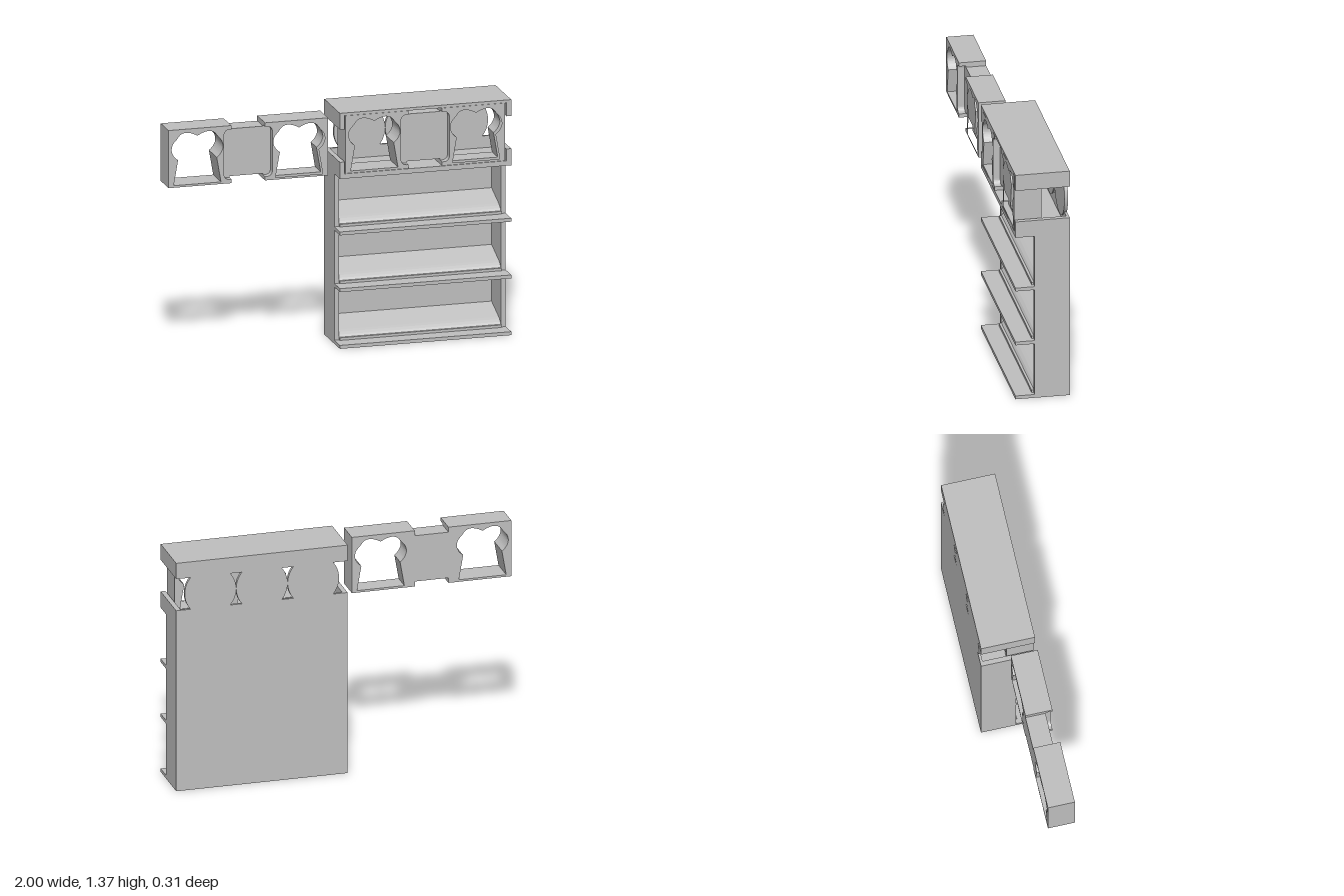
import * as THREE from 'three';

export function createModel() {
  const grey = new THREE.MeshStandardMaterial({ color: 0xbfbfbf });
  grey.name = 'light grey';

  const add = (parent, name, geometry) => {
    const mesh = new THREE.Mesh(geometry, grey);
    mesh.name = name;
    parent.add(mesh);
    return mesh;
  };
  // Box given by its bounds
  const box = (parent, name, x0, x1, y0, y1, z0, z1) => {
    const g = new THREE.BoxGeometry(x1 - x0, y1 - y0, z1 - z0);
    g.translate((x0 + x1) / 2, (y0 + y1) / 2, (z0 + z1) / 2);
    return add(parent, name, g);
  };
  const vectors = (pts) => pts.map(([x, y]) => new THREE.Vector2(x, y));
  // Plate extruded along z from an outline with holes
  const plate = (parent, name, outline, holes, z0, z1) => {
    const shape = new THREE.Shape(vectors(outline));
    holes.forEach((h) => shape.holes.push(new THREE.Path(vectors(h))));
    const g = new THREE.ExtrudeGeometry(shape, { depth: z1 - z0, bevelEnabled: false });
    g.translate(0, 0, z0);
    return add(parent, name, g);
  };
  // Bar running along x from a (z, y) cross-section
  const bar = (parent, name, profile, x0, x1) => {
    const shape = new THREE.Shape(vectors(profile.map(([z, y]) => [-z, y])));
    const g = new THREE.ExtrudeGeometry(shape, { depth: x1 - x0, bevelEnabled: false });
    g.rotateY(Math.PI / 2).translate(x0, 0, 0);
    return add(parent, name, g);
  };

  // ---- Front insert: two blocks with shaped openings and a lower middle ----
  const W = 0.93, H = 0.335, BLOCK = 0.367;
  const mirror = (pts) => pts.map(([x, y]) => [W - x, y]);

  const crown = new THREE.SplineCurve(vectors([
    [0.113, 0.157], [0.136, 0.18], [0.15, 0.214], [0.143, 0.25], [0.12, 0.278],
    [0.097, 0.305], [0.066, 0.314], [0.032, 0.307], [0, 0.292],
  ])).getPoints(32).map((p) => [p.x, p.y]);
  const half = [[0.138, 0.012], ...crown];
  const opening = [
    ...half,
    ...half.slice(0, -1).reverse().map(([x, y]) => [-x, y]),
  ].map(([x, y]) => [x + 0.168, y]);

  // Rounded pocket edge on the inner side of a block
  const pocket = [];
  const px = 0.324, pr = 0.03, low = 0.022;
  for (let i = 0; i <= 6; i++) {
    const a = (i / 6) * Math.PI / 2;
    pocket.push([px + pr - pr * Math.sin(a), low + pr - pr * Math.cos(a)]);
  }
  const pocketEdge = [...pocket, ...pocket.slice().reverse().map(([x, y]) => [x, H - y])];
  const blockOutline = [[0, 0], [BLOCK, 0], [BLOCK, low], ...pocketEdge,
    [BLOCK, H - low], [BLOCK, H], [0, H]];

  const baseOutline = [
    [0, 0], [BLOCK, 0], [BLOCK, 0.03], [W - BLOCK, 0.03], [W - BLOCK, 0], [W, 0],
    [W, H], [W - BLOCK, H], [W - BLOCK, H - 0.03], [BLOCK, H - 0.03], [BLOCK, H], [0, H],
  ];

  const makeInsert = (name) => {
    const insert = new THREE.Group();
    insert.name = name;
    plate(insert, 'insertBase', baseOutline, [opening, mirror(opening)], 0, 0.115);
    plate(insert, 'rightBlockFront', blockOutline, [opening], 0.115, 0.155);
    plate(insert, 'leftBlockFront', mirror(blockOutline), [mirror(opening)], 0.115, 0.155);
    return insert;
  };

  const model = new THREE.Group();
  model.name = 'shelfUnitWithInserts';
  const spare = makeInsert('looseInsert');
  spare.position.set(-1, 1.015, 0);
  const fitted = makeInsert('fittedInsert');
  fitted.position.set(0.033, 1.018, 0);
  model.add(spare, fitted);

  // ---- Cabinet ----
  const cabinet = new THREE.Group();
  cabinet.name = 'cabinet';
  model.add(cabinet);
  const B = -0.155, F = 0.155, M = 0.045, T = 0.028;

  box(cabinet, 'backWall', 0, 1, 0, 1.085, B, -0.14);
  for (const [side, x] of [['right', 0], ['left', 1 - T]]) {
    box(cabinet, side + 'Wall', x, x + T, 0, 1.085, B, M);
    box(cabinet, side + 'TrayWall', x, x + T, 0.99, 1.085, M, F);
    box(cabinet, side + 'CapWall', x, x + T, 1.275, 1.37, B, F);
  }

  // Top cap and its short back wall
  box(cabinet, 'capTop', 0, 1, 1.354, 1.37, B, F);
  box(cabinet, 'capBack', 0, 1, 1.275, 1.37, B, -0.14);

  // Three round plates joining the cap to the cabinet at the back
  for (const x of [0.2, 0.5, 0.8]) {
    const disc = new THREE.CylinderGeometry(0.15, 0.15, 0.02, 48);
    disc.rotateX(Math.PI / 2).translate(x, 1.18, B + 0.01);
    add(cabinet, 'backDisc', disc);
  }

  // Shelves, with a lip above, a wedge below and a sloped floor behind
  const shelves = [[0, 0.02], [0.33, 0.35], [0.66, 0.68], [0.988, 1.016]];
  shelves.forEach(([y0, y1], i) => {
    box(cabinet, 'shelf', 0, 1, y0, y1, B, F);
    if (i > 0) {
      bar(cabinet, 'underLip', [[0.057, y0], [0.047, y0 - 0.016], [0.04, y0 - 0.016], [0.04, y0]], T, 1 - T);
    }
    if (i < 3) {
      box(cabinet, 'shelfLip', T, 1 - T, y1, y1 + 0.015, 0.043, 0.057);
      bar(cabinet, 'slopedFloor', [
        [0.044, y1], [0.044, y1 + 0.012], [0.033, y1 + 0.027], [0.018, y1 + 0.039],
        [0, y1 + 0.048], [-0.14, y1 + 0.1], [-0.14, y1],
      ], T, 1 - T);
    }
  });

  return model;
}
